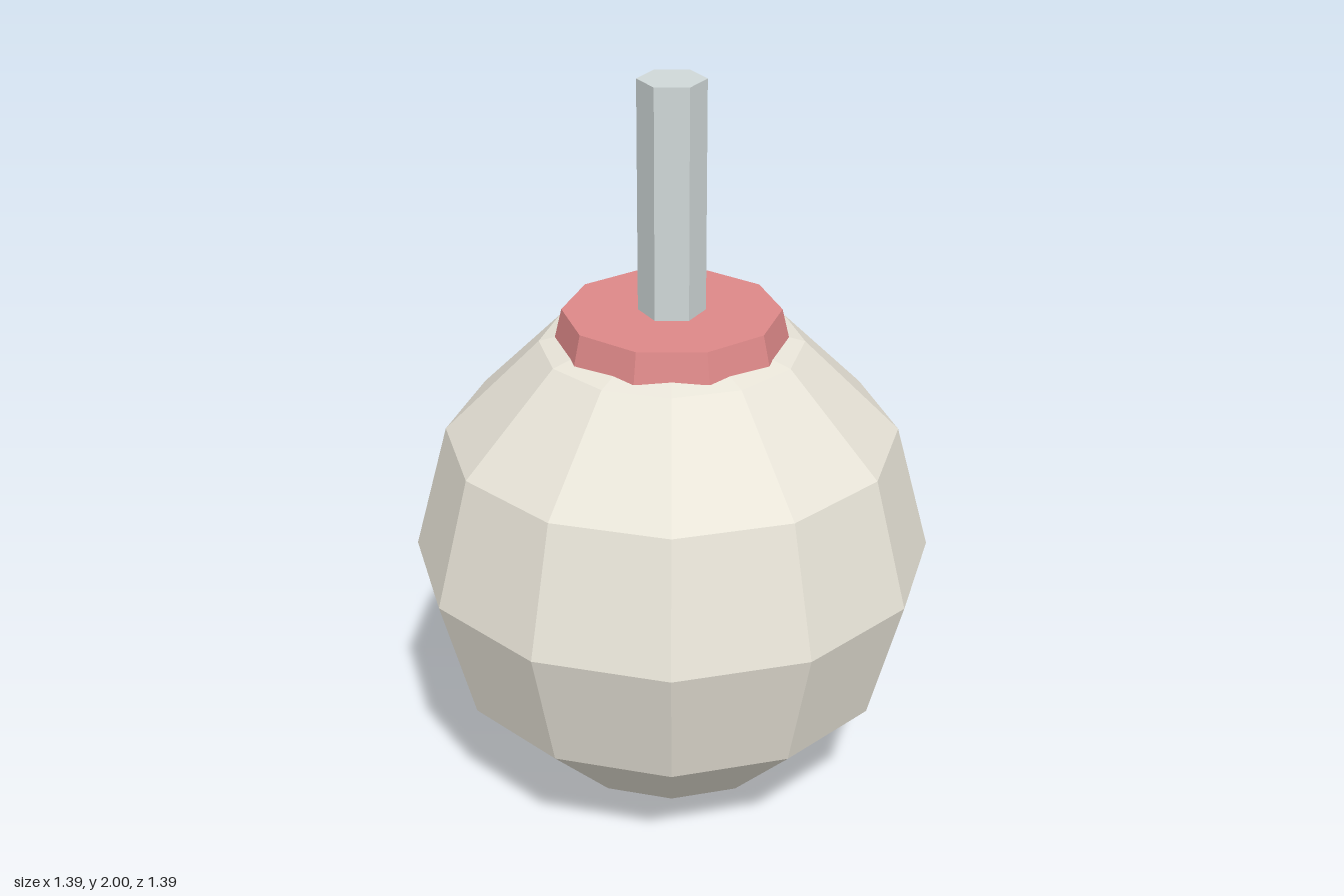
import * as THREE from 'three';

function part(name, geometry, color, y) {
  const material = new THREE.MeshStandardMaterial({ color, flatShading: true });
  const mesh = new THREE.Mesh(geometry, material);
  mesh.name = name;
  mesh.position.y = y;
  return mesh;
}

// Tapered prism with two corners on the x axis, standing between two heights
function prism(name, topRadius, bottomRadius, bottom, top, sides, color) {
  const geometry = new THREE.CylinderGeometry(topRadius, bottomRadius, top - bottom, sides);
  geometry.rotateY(Math.PI / 2);
  return part(name, geometry, color, (bottom + top) / 2);
}

export function createModel() {
  const model = new THREE.Group();
  model.name = 'ballOnStick';

  // Faceted ball
  model.add(part('ball', new THREE.SphereGeometry(0.694, 12, 6), 0xe8e4d8, 0.696));

  // Ten-sided collar on top of the ball
  model.add(prism('collar', 0.286, 0.305, 1.306, 1.387, 10, 0xdd8888));

  // Hexagonal stick
  model.add(prism('stick', 0.088, 0.088, 1.36, 2, 6, 0xd0d8d8));

  return model;
}
